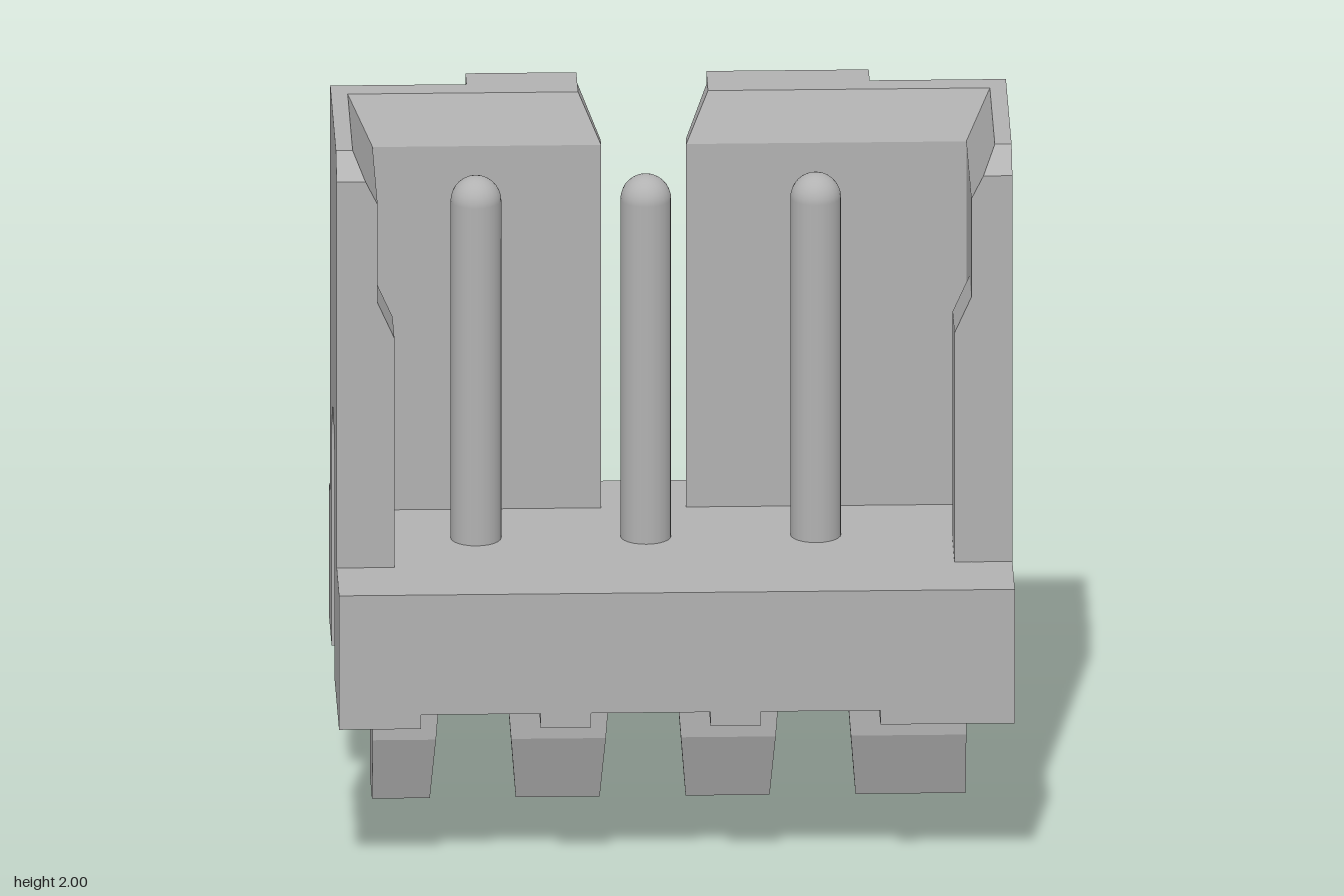
import * as THREE from 'three';

const PIN_X = [-0.525, -0.07, 0.385];
const PIN_R = 0.068;
const BACK = -0.088, FRONT = 0.82, SIDE = 0.905, INNER = 0.795;
const BEVEL_Y = 1.87, TOP = 2;

const toShape = (pts) => new THREE.Shape(pts.map(([a, b]) => new THREE.Vector2(a, b)));
const extrude = (shape, depth) =>
  new THREE.ExtrudeGeometry(shape, { depth, bevelEnabled: false, curveSegments: 16 });

// Profile in x,y pushed from z0 to z1
const alongZ = (pts, z0, z1) => extrude(toShape(pts), z1 - z0).translate(0, 0, z0);
// Plan in x,z raised from y0 to y1
const alongY = (pts, y0, y1) =>
  extrude(toShape(pts.map(([x, z]) => [x, -z])), y1 - y0).rotateX(-Math.PI / 2).translate(0, y0, 0);
// Profile in z,y pushed from x0 to x1
const alongX = (shape, x0, x1) => extrude(shape, x1 - x0).rotateY(-Math.PI / 2).translate(x1, 0, 0);

// Move vertices by a rule and refresh the flat normals
function reshape(geometry, rule) {
  const p = geometry.attributes.position, v = new THREE.Vector3();
  for (let i = 0; i < p.count; i++) {
    rule(v.fromBufferAttribute(p, i));
    p.setXYZ(i, v.x, v.y, v.z);
  }
  geometry.computeVertexNormals();
  return geometry;
}

export function createModel() {
  const model = new THREE.Group();
  model.name = 'pinHeader';
  const grey = new THREE.MeshStandardMaterial({ color: 0xb2b2b2 });
  grey.name = 'grey';
  const add = (name, geometry, parent = model) => {
    const mesh = new THREE.Mesh(geometry, grey);
    mesh.name = name;
    parent.add(mesh);
    return mesh;
  };

  // Base block with a shallow channel under each pin
  const base = [[-INNER, 0.84], [-INNER, 0.46]];
  for (const x of PIN_X) {
    base.push([x - 0.16, 0.46], [x - 0.16, 0.5], [x + 0.16, 0.5], [x + 0.16, 0.46]);
  }
  base.push([INNER, 0.46], [INNER, 0.84]);
  add('base', alongZ(base, BACK, FRONT));

  // Side walls with an arched slot that runs down through the base
  const side = new THREE.Shape();
  side.moveTo(BACK, 0.46);
  side.lineTo(0.14, 0.46);
  side.lineTo(0.14, 1.05);
  side.absarc(0.265, 1.05, 0.125, Math.PI, 0, true);
  for (const [z, y] of [[0.39, 0.46], [FRONT, 0.46], [FRONT, 0.84], [0.595, 0.84],
    [0.595, BEVEL_Y], [0, BEVEL_Y], [0, 0.84], [BACK, 0.84]]) side.lineTo(z, y);
  const sideTop = toShape([[0, BEVEL_Y], [0.595, BEVEL_Y], [0.595, 1.935], [0.525, TOP], [0, TOP]]);

  for (const s of [-1, 1]) {
    const label = s > 0 ? 'left' : 'right';
    const x0 = s > 0 ? INNER : -SIDE;
    add(label + 'SideWall', alongX(side, x0, x0 + SIDE - INNER));
    // Rim narrows from the inside
    add(label + 'SideRim', reshape(alongX(sideTop, x0, x0 + SIDE - INNER), (v) => {
      if (Math.abs(v.x) < 0.85) v.x += s * 0.5 * (v.y - BEVEL_Y);
    }));
    // Locking rib with a sloped top
    add(label + 'LockingRib', alongZ(
      [[s * 0.85, 0.84], [s * 0.75, 0.84], [s * 0.75, 1.49], [s * 0.797, 1.595], [s * 0.85, 1.595]],
      0.42, 0.594));

    // Back wall half, thicker beside the central gap
    const gapBack = s > 0 ? 0.105 : -0.243, gapFront = s > 0 ? 0.045 : -0.183;
    const plan = [[s * 0.902, 0], [s * 0.54, 0], [s * 0.54, BACK], [gapBack, BACK], [gapBack, 0],
      [gapFront, 0.09], [gapFront, 0.13], [s * 0.902, 0.13]];
    add(label + 'BackWall', alongY(plan, 0.84, BEVEL_Y));
    // Bevelled rim, cut back on the inside and at the gap
    add(label + 'BackRim', reshape(alongY(plan, BEVEL_Y, TOP), (v) => {
      if (v.y < TOP - 0.01) return;
      if (Math.abs(v.x - gapFront) < 0.01) v.x = gapBack;
      if (v.z > 0.12) v.z = 0.07;
      else if (v.z > 0.08) v.z = 0;
    }));
  }

  // Tapered legs between the pins: bottom and top x ranges
  const legSide = toShape([[BACK, 0], [0.07, 0], [0.14, 0.19], [0.14, 0.5], [BACK, 0.5]]);
  for (let i = 0; i <= PIN_X.length; i++) {
    const edge = (x, gap, outer) => (x === undefined ? outer : x + gap);
    const low = [edge(PIN_X[i - 1], 0.115, -INNER), edge(PIN_X[i], -0.115, INNER)];
    const high = [edge(PIN_X[i - 1], 0.077, -INNER), edge(PIN_X[i], -0.077, INNER)];
    add('leg', reshape(alongX(legSide, 0, 1), (v) => {
      const k = v.x > 0.5 ? 1 : 0;
      v.x = THREE.MathUtils.lerp(low[k], high[k], v.y / 0.5);
    }));
  }

  // Bent round pins with domed ends
  const pinZ = 0.36, pinY = 0.388, bend = 0.135;
  const tipY = 1.865 - PIN_R, tipZ = -0.82 + PIN_R;
  const bendY = pinY + bend, bendZ = pinZ - bend;
  for (const x of PIN_X) {
    const pin = new THREE.Group();
    pin.name = 'pin';
    pin.position.x = x;
    model.add(pin);
    const rod = (length) => new THREE.CylinderGeometry(PIN_R, PIN_R, length, 24, 1, true);
    const dome = () => new THREE.SphereGeometry(PIN_R, 24, 8, 0, Math.PI * 2, 0, Math.PI / 2);
    add('uprightRod', rod(tipY - bendY).translate(0, (tipY + bendY) / 2, pinZ), pin);
    add('uprightTip', dome().translate(0, tipY, pinZ), pin);
    add('tailRod', rod(bendZ - tipZ).rotateX(-Math.PI / 2).translate(0, pinY, (bendZ + tipZ) / 2), pin);
    add('tailTip', dome().rotateX(-Math.PI / 2).translate(0, pinY, tipZ), pin);
    add('elbow', new THREE.TorusGeometry(bend, PIN_R, 24, 10, Math.PI / 2)
      .rotateZ(-Math.PI / 2).rotateY(-Math.PI / 2).translate(0, bendY, bendZ), pin);
  }
  return model;
}
